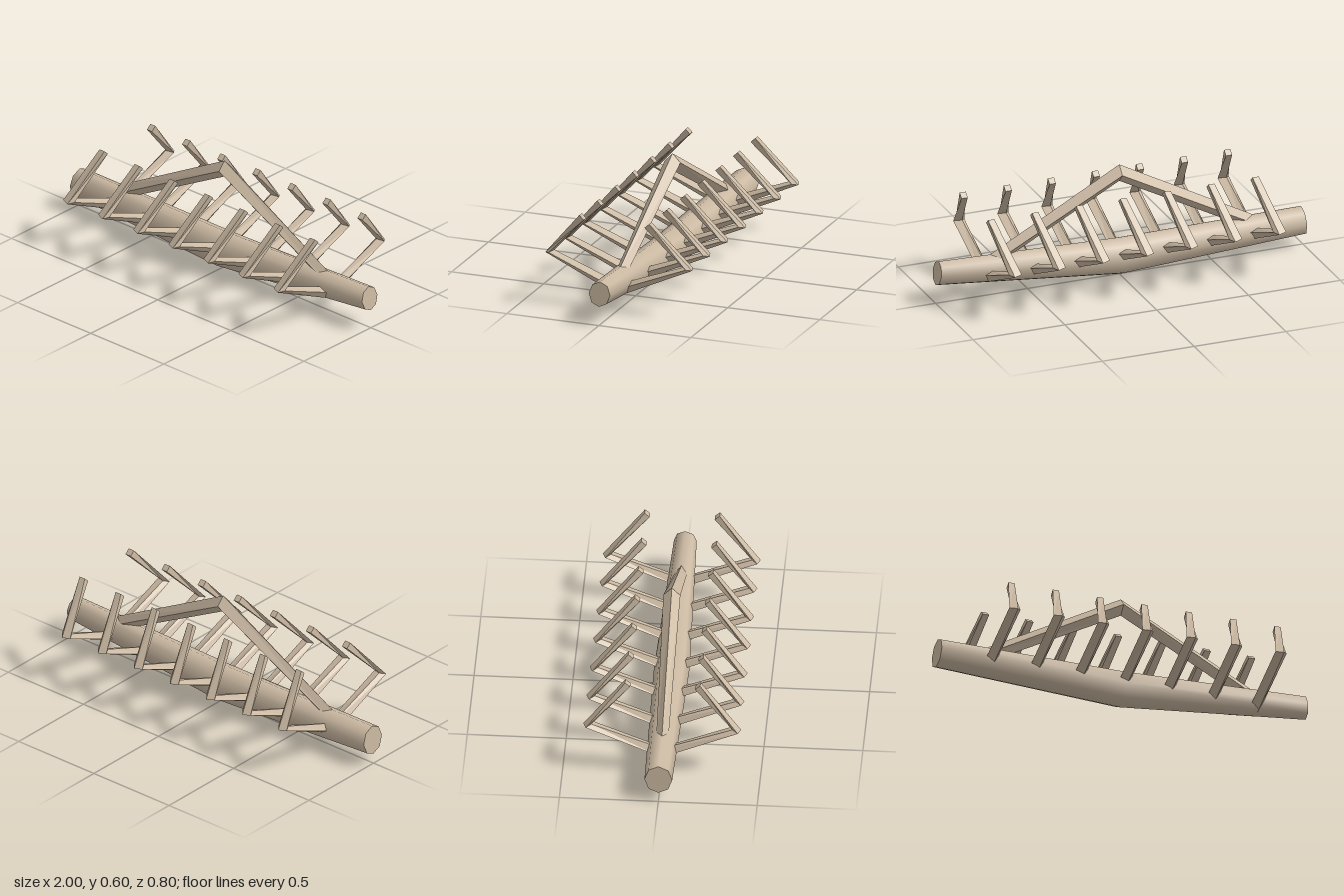
import * as THREE from 'three';

const bone = new THREE.MeshStandardMaterial({ color: 0xcbb9a2 });
bone.name = 'bone';

// Skins a list of equal-length rings of points and closes both ends.
function loft(name, rings, smooth = false) {
  const n = rings[0].length;
  const side = [];
  for (let i = 0; i < rings.length - 1; i++) {
    for (let k = 0; k < n; k++) {
      const a = i * n + k, b = i * n + (k + 1) % n;
      side.push(a, b, b + n, a, b + n, a + n);
    }
  }
  const caps = [];
  const last = (rings.length - 1) * n;
  for (let k = 1; k < n - 1; k++) {
    caps.push(0, k + 1, k, last, last + k, last + k + 1);
  }
  const points = rings.flat();
  const build = (index) => {
    const g = new THREE.BufferGeometry().setFromPoints(points);
    g.setIndex(index);
    return g;
  };
  const group = new THREE.Group();
  group.name = name;
  const add = (part, index, soft) => {
    let g = build(index);
    if (!soft) g = g.toNonIndexed();
    g.computeVertexNormals();
    const mesh = new THREE.Mesh(g, bone);
    mesh.name = part;
    group.add(mesh);
  };
  add(name + 'Sides', side, smooth);
  add(name + 'Ends', caps, false);
  return group;
}

// Ring around centre c: u and v are the half axes, start turns the corners.
function ring(c, u, v, sides, start = 0) {
  return Array.from({ length: sides }, (_, k) => {
    const a = start + (k / sides) * Math.PI * 2;
    return c.clone().addScaledVector(u, Math.cos(a)).addScaledVector(v, Math.sin(a));
  });
}

const V = (x, y, z) => new THREE.Vector3(x, y, z);

// Bent rib: base inside the spine, elbow outside, tip folded inward and leaning to +x.
function rib(x, s) {
  const rad = THREE.MathUtils.degToRad;
  const rings = [
    ring(V(x, 0.103, 0), V(0.034, 0, 0), V(0, 0.027, -0.0107), 4, rad(17)),
    ring(V(x, 0.262, 0.378), V(0.034, 0, 0), V(0, 0.006, -0.022), 4, rad(17)),
    ring(V(x + 0.055, 0.487, 0.177), V(0.024, 0, 0), V(0, -0.0161, -0.0178), 4, rad(45)),
  ];
  if (s < 0) {
    for (const r of rings) {
      r.forEach((p) => { p.z *= -1; });
      r.reverse();
    }
  }
  return loft(s > 0 ? 'frontRib' : 'backRib', rings);
}

export function createModel() {
  const model = new THREE.Group();
  model.name = 'ribbedSpine';

  // Eight-sided spine, thickest and lowest in the middle: x, y, radius, end tilt
  const stations = [[-0.995, 0.133, 0.078, 0.005], [0, 0.1, 0.1, 0], [0.992, 0.164, 0.064, -0.008]];
  model.add(loft('spine', stations.map(([x, y, r, tilt]) =>
    ring(V(x, y, 0), V(tilt, r, 0), V(0, 0, r * 0.9), 8)), true));

  // Peaked ridge bar with a diamond section
  const ridge = [[-0.75, 0.155, 0.04, 0.03], [0, 0.555, 0.045, 0.043], [0.75, 0.155, 0.04, 0.03]];
  model.add(loft('ridgeBar', ridge.map(([x, y, h, w]) =>
    ring(V(x, y, 0), V(0, h, 0), V(0, 0, w), 4))));

  // Seven pairs of ribs
  for (let i = -3; i <= 3; i++) {
    for (const s of [1, -1]) model.add(rib(i * 0.24, s));
  }
  return model;
}
